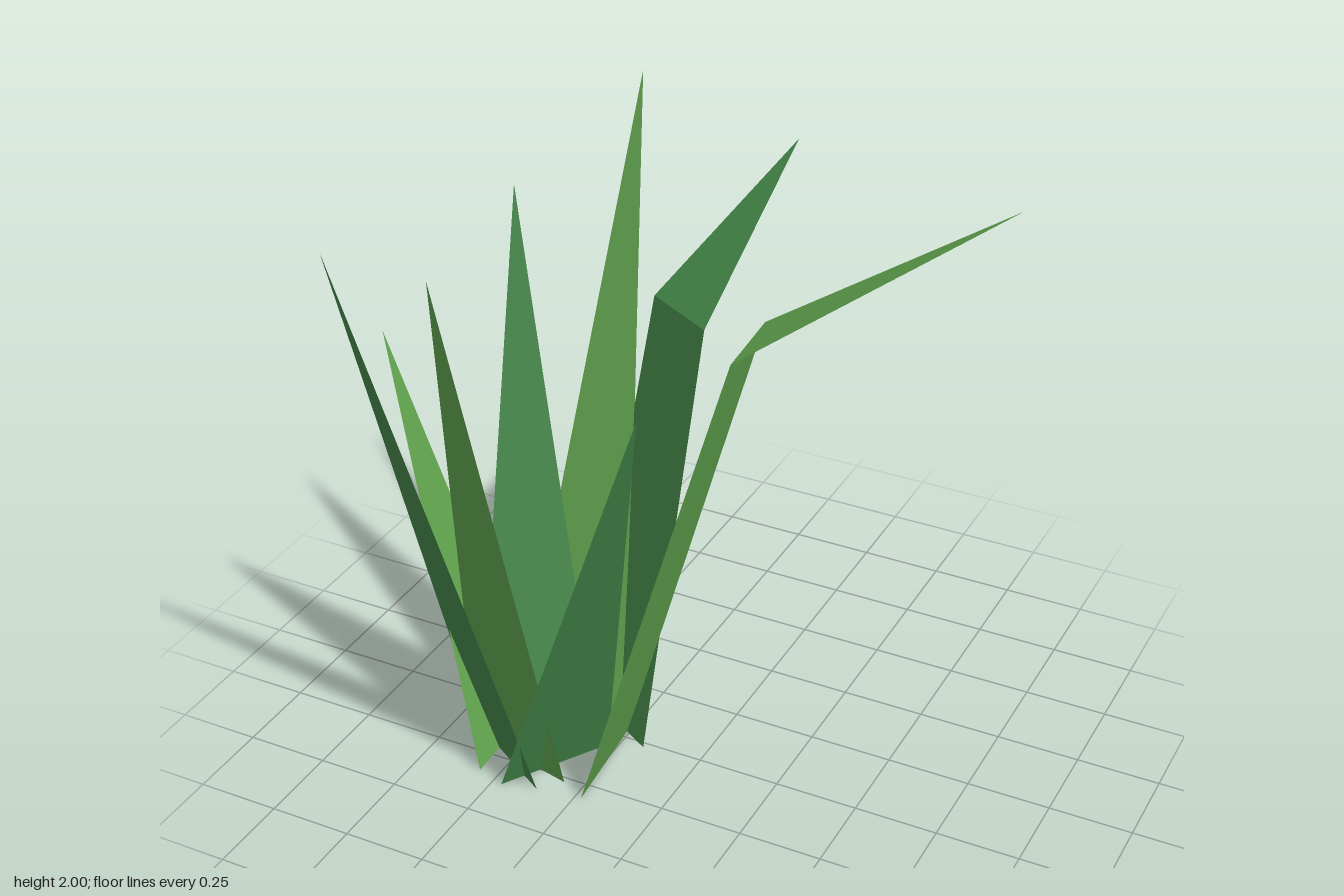
import * as THREE from 'three';

const lightLeaf = new THREE.MeshStandardMaterial({ color: 0x62a650, side: THREE.DoubleSide, flatShading: true });
lightLeaf.name = 'lightLeafGreen';
const deepLeaf = new THREE.MeshStandardMaterial({ color: 0x45884a, side: THREE.DoubleSide, flatShading: true });
deepLeaf.name = 'deepLeafGreen';

// A blade runs from its base edge, over an optional fold edge, to a point.
function blade(name, material, tip, ...edges) {
  const points = [];
  for (let i = 0; i < edges.length - 1; i++) {
    const [a, b] = edges[i], [c, d] = edges[i + 1];
    points.push(...a, ...b, ...d, ...a, ...d, ...c);
  }
  const [left, right] = edges[edges.length - 1];
  points.push(...left, ...right, ...tip);
  const geometry = new THREE.BufferGeometry();
  geometry.setAttribute('position', new THREE.Float32BufferAttribute(points, 3));
  geometry.computeVertexNormals();
  const mesh = new THREE.Mesh(geometry, material);
  mesh.name = name;
  return mesh;
}

export function createModel() {
  const group = new THREE.Group();
  group.name = 'grassTuft';
  group.add(
    // Long folded blades
    blade('longLeftBlade', lightLeaf, [0.89, 2, 0.05],
      [[-0.23, 0, 0.315], [-0.26, 0, -0.035]],
      [[0.2, 1.5, 0.23], [0.18, 1.5, -0.02]]),
    blade('foldedBackBlade', deepLeaf, [-0.01, 1.74, -0.64],
      [[-0.48, 0, -0.155], [-0.18, 0, 0.02]],
      [[-0.32, 1.31, -0.35], [-0.1, 1.31, -0.225]]),
    // Straight blades around the ring
    blade('tallBackBlade', lightLeaf, [-0.45, 1.9, -0.545],
      [[-0.64, 0, -0.045], [-0.27, 0, -0.045]]),
    blade('backRightBlade', deepLeaf, [-0.73, 1.6, -0.285],
      [[-0.67, 0, 0.145], [-0.37, 0, -0.035]]),
    blade('rightBlade', lightLeaf, [-0.9, 1.31, 0.17],
      [[-0.56, 0, 0.33], [-0.57, 0, -0.03]]),
    blade('frontRightBlade', deepLeaf, [-0.75, 1.79, 0.635],
      [[-0.665, 0, 0.15], [-0.365, 0, 0.335]]),
    blade('frontBlade', lightLeaf, [-0.535, 1.69, 0.488],
      [[-0.65, 0, 0.19], [-0.31, 0, 0.27]]),
    blade('frontLeftBlade', deepLeaf, [0.062, 1.43, 0.483],
      [[-0.47, 0, 0.36], [-0.28, 0, 0.055]]),
  );
  return group;
}
